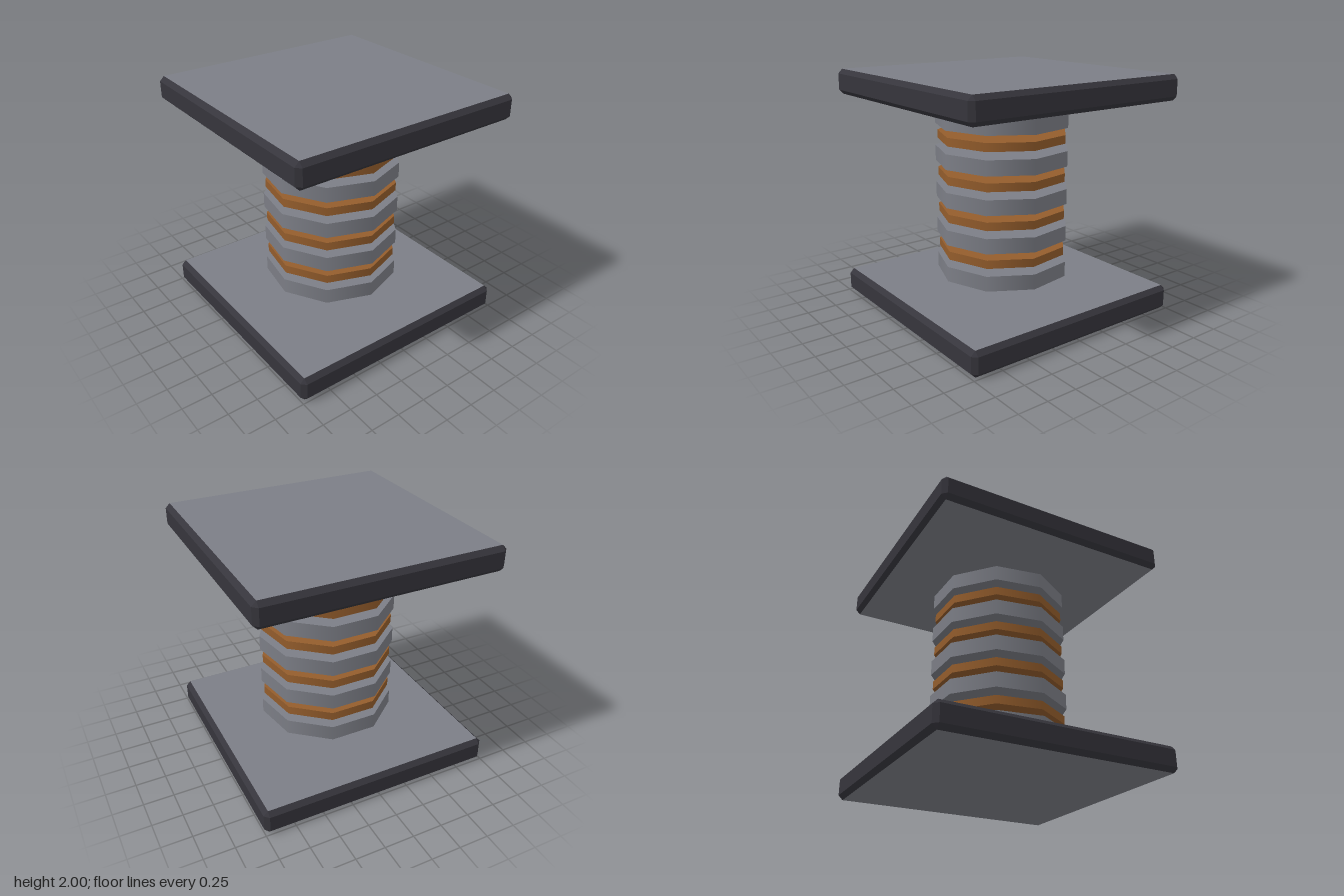
import * as THREE from 'three';

const mat = (name, color) => {
  const m = new THREE.MeshStandardMaterial({ color });
  m.name = name;
  return m;
};

// Box with all edges chamfered by b; group 0 = sides and chamfers, group 1 = top and bottom
function chamferBox(w, h, d, b) {
  const x = w / 2, y = h / 2, z = d / 2;
  const loop = (ox, oz, py) => [
    [ox, z - b], [x - b, oz], [b - x, oz], [-ox, z - b],
    [-ox, b - z], [b - x, -oz], [x - b, -oz], [ox, b - z],
  ].map(([px, pz]) => new THREE.Vector3(px, py, pz));
  const rings = [
    loop(x - b, z - b, -y), loop(x, z, b - y),
    loop(x, z, y - b), loop(x - b, z - b, y),
  ];
  const pos = [];
  const tri = (p, q, r) => {
    const area = q.clone().sub(p).cross(r.clone().sub(p)).length();
    if (area > 1e-9) for (const v of [p, q, r]) pos.push(v.x, v.y, v.z);
  };
  for (let k = 0; k < 3; k++) {
    for (let i = 0; i < 8; i++) {
      const j = (i + 1) % 8;
      const [lo, hi] = [rings[k], rings[k + 1]];
      tri(lo[i], hi[j], lo[j]);
      tri(lo[i], hi[i], hi[j]);
    }
  }
  const sideCount = pos.length / 3;
  const [bot, , , top] = rings;
  for (let i = 1; i < 7; i++) {
    tri(top[0], top[i + 1], top[i]);
    tri(bot[0], bot[i], bot[i + 1]);
  }
  const g = new THREE.BufferGeometry();
  g.setAttribute('position', new THREE.Float32BufferAttribute(pos, 3));
  g.addGroup(0, sideCount, 0);
  g.addGroup(sideCount, pos.length / 3 - sideCount, 1);
  g.computeVertexNormals();
  return g;
}

export function createModel() {
  const model = new THREE.Group();
  model.name = 'springPiston';
  const steel = mat('steel grey', 0x7c7e86);
  const dark = mat('dark metal', 0x36353c);
  const copper = mat('copper', 0x945d2c);

  const add = (name, geometry, material, y, z = 0) => {
    const mesh = new THREE.Mesh(geometry, material);
    mesh.name = name;
    mesh.position.set(0, y, z);
    model.add(mesh);
  };
  // Few-sided cylinder with a corner on +x
  const prism = (rTop, rBottom, h, sides, open = false) =>
    new THREE.CylinderGeometry(rTop, rBottom, h, sides, 1, open, Math.PI / 2);

  // End plates
  const plate = chamferBox(2, 0.21, 2, 0.037);
  add('basePlate', plate, [dark, steel], 0.105);
  add('topPlate', plate, [dark, steel], 1.895);

  // Sleeve with a chamfered rim, and the shaft sliding in it
  add('sleeve', prism(0.27, 0.27, 0.71, 6, true), dark, 0.555);
  add('sleeveRim', prism(0.255, 0.27, 0.016, 6), dark, 0.918);
  add('shaft', prism(0.16, 0.16, 0.9, 6), steel, 1.35);

  // Alternating stack of wide grey and thin copper discs
  const step = 0.3175;
  const greyDisc = prism(0.567, 0.567, 0.128, 9);
  const copperDisc = prism(0.548, 0.548, 0.07, 9);
  for (let i = 0; i < 5; i++) {
    add('greyRing' + (i + 1), greyDisc, steel, 0.369 + i * step);
    if (i < 4) add('copperRing' + (i + 1), copperDisc, copper, 0.528 + i * step);
  }

  // Copper strip on the front of the sleeve
  add('frontStrip', chamferBox(0.15, 0.57, 0.052, 0.013), [copper, copper], 0.563, 0.278);

  return model;
}
